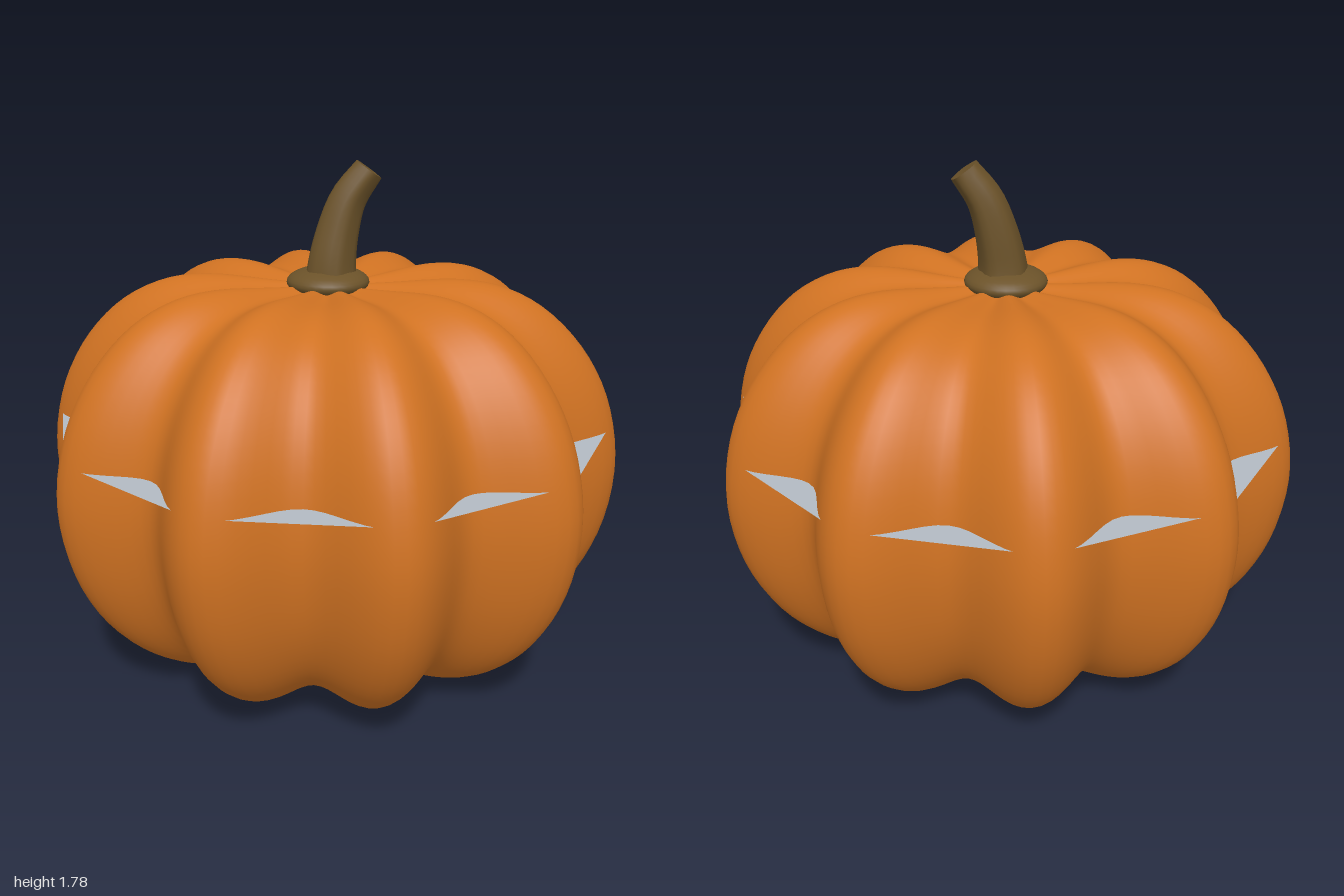
import * as THREE from 'three';
import { mergeVertices } from 'three/addons/utils/BufferGeometryUtils.js';

const LOBES = 10;
const DEPTH = 0.95; // the body is slightly shallower than wide

const mat = (name, color, side = THREE.FrontSide) => {
  const m = new THREE.MeshStandardMaterial({ color, side });
  m.name = name;
  return m;
};

const mesh = (name, geometry, material) => {
  const m = new THREE.Mesh(geometry, material);
  m.name = name;
  return m;
};

// Drops uvs so seams weld, then moves every vertex by a rule
function reshape(geometry, rule, keepNormals) {
  geometry.deleteAttribute('uv');
  if (!keepNormals) geometry.deleteAttribute('normal');
  const g = mergeVertices(geometry, 1e-5);
  const p = g.attributes.position;
  const v = new THREE.Vector3();
  for (let i = 0; i < p.count; i++) {
    v.fromBufferAttribute(p, i);
    rule(v);
    p.setXYZ(i, v.x, v.y, v.z);
  }
  g.computeVertexNormals();
  return g;
}

// Ribbed body: a lathe pressed into ten lobes
function bodyGeometry() {
  const profile = new THREE.SplineCurve([
    [0, 0.03], [0.18, 0.016], [0.36, 0.02], [0.56, 0.065], [0.73, 0.16],
    [0.87, 0.31], [0.965, 0.51], [1, 0.74], [0.965, 0.96], [0.88, 1.14],
    [0.75, 1.285], [0.6, 1.37], [0.43, 1.4], [0.2, 1.385], [0, 1.37],
  ].map(([x, y]) => new THREE.Vector2(x, y))).getPoints(56);
  profile.forEach((p) => { p.x = Math.max(p.x, 0); });
  return reshape(new THREE.LatheGeometry(profile, 160), (v) => {
    const r = Math.hypot(v.x, v.z);
    const groove = (1 - Math.cos(LOBES * Math.atan2(v.z, v.x))) / 2;
    const press = 1 - 0.16 * groove;
    // grooves also sink into the top and bottom, fading at the poles
    const sink = 0.035 * groove * Math.sin(Math.PI * Math.min(r, 1));
    v.y += v.y > 0.74 ? -sink * (v.y - 0.74) / 0.66 : sink * (0.74 - v.y) / 0.74;
    v.x *= press;
    v.z *= press * DEPTH;
  });
}

// Curved, tapering stem with faint ridges and a slanted cut end
function stemGeometry() {
  const path = new THREE.CatmullRomCurve3([
    new THREE.Vector3(0, 1.36, 0),
    new THREE.Vector3(0.002, 1.44, 0),
    new THREE.Vector3(0.02, 1.55, -0.012),
    new THREE.Vector3(0.055, 1.66, -0.024),
    new THREE.Vector3(0.122, 1.755, -0.035),
  ]);
  const up = new THREE.Vector3(0, 1, 0);
  const turn = new THREE.Quaternion();
  return reshape(new THREE.CylinderGeometry(1, 1, 1, 20, 14), (v) => {
    const t = v.y + 0.5;
    const ridge = 1 + 0.06 * Math.cos(5 * Math.atan2(v.z, v.x));
    const radius = (0.09 - 0.04 * t) * ridge;
    turn.setFromUnitVectors(up, path.getTangent(t));
    v.set(v.x * radius, 0, v.z * radius).applyQuaternion(turn).add(path.getPoint(t));
  }, true);
}

// Flat ten-sided sheet spanning the lobe tips
function sheetGeometry() {
  const g = new THREE.CircleGeometry(0.972, LOBES);
  g.rotateX(-Math.PI / 2);
  g.scale(1, 1, DEPTH);
  g.translate(0, 0.905, 0);
  return g;
}

export function createModel() {
  const orange = mat('pumpkinOrange', 0xd07222);
  const brown = mat('stemBrown', 0x6b5229);
  const grey = mat('sheetGrey', 0xb2bac2, THREE.DoubleSide);

  const group = new THREE.Group();
  group.name = 'pumpkin';
  group.add(
    mesh('body', bodyGeometry(), orange),
    mesh('stem', stemGeometry(), brown),
    mesh('innerSheet', sheetGeometry(), grey),
  );

  // Rounded collar under the stem
  const collar = mesh('stemCollar', new THREE.SphereGeometry(1, 32, 16), brown);
  collar.scale.set(0.14, 0.05, 0.135);
  collar.position.set(-0.008, 1.385, 0);
  group.add(collar);

  // Small blossom end underneath
  const nub = mesh('blossomEnd', new THREE.SphereGeometry(1, 20, 10), brown);
  nub.scale.set(0.055, 0.02, 0.055);
  nub.position.y = 0.02;
  group.add(nub);

  return group;
}
